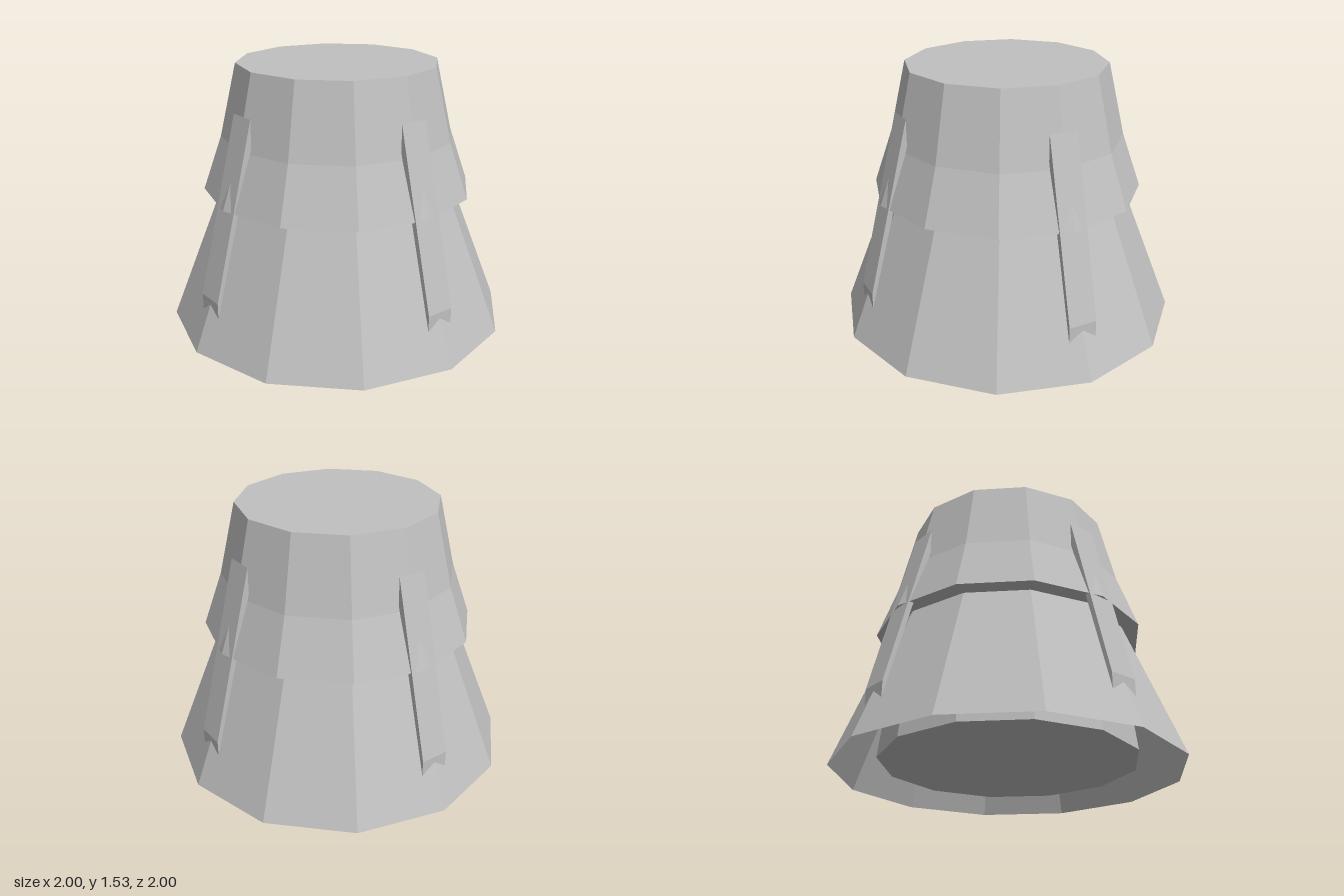
import * as THREE from 'three';

const SIDES = 12;

// Turns a list of [radius, height] pairs into a faceted solid or shell.
function turned(name, profile, material) {
  const points = profile.map(([r, y]) => new THREE.Vector2(r, y));
  const mesh = new THREE.Mesh(new THREE.LatheGeometry(points, SIDES), material);
  mesh.name = name;
  return mesh;
}

export function createModel() {
  const model = new THREE.Group();
  model.name = 'taperedTower';

  const grey = new THREE.MeshStandardMaterial({ color: 0xc0c0c0, flatShading: true, side: THREE.DoubleSide });
  grey.name = 'plain grey';

  // Flared base, a hollow shell open underneath
  model.add(turned('baseShell', [[1, 0], [0.686, 0.8]], grey));

  // Core standing inside the base, closed at the bottom
  model.add(turned('innerCore', [[0, 0.055], [0.74, 0.055], [0.65, 0.82]], grey));

  // Upper cap with a kinked, overhanging skirt
  model.add(turned('upperCap', [[0, 0.795], [0.787, 0.795], [0.677, 1.11], [0.58, 1.53], [0, 1.53]], grey));

  // Four slanted struts with upright cut ends; the profile is drawn as (radius, height)
  const width = 0.166;
  const profile = new THREE.Shape([[0.645, 1.3], [0.645, 1.15], [0.896, 0.21], [0.896, 0.3]]
    .map(([r, y]) => new THREE.Vector2(r, y)));
  const strutGeometry = new THREE.ExtrudeGeometry(profile, { depth: width, bevelEnabled: false });
  strutGeometry.translate(0, 0, -width / 2);
  ['leftStrut', 'backStrut', 'rightStrut', 'frontStrut'].forEach((name, i) => {
    const strut = new THREE.Mesh(strutGeometry, grey);
    strut.name = name;
    strut.rotation.y = i * Math.PI / 2;
    model.add(strut);
  });

  return model;
}
